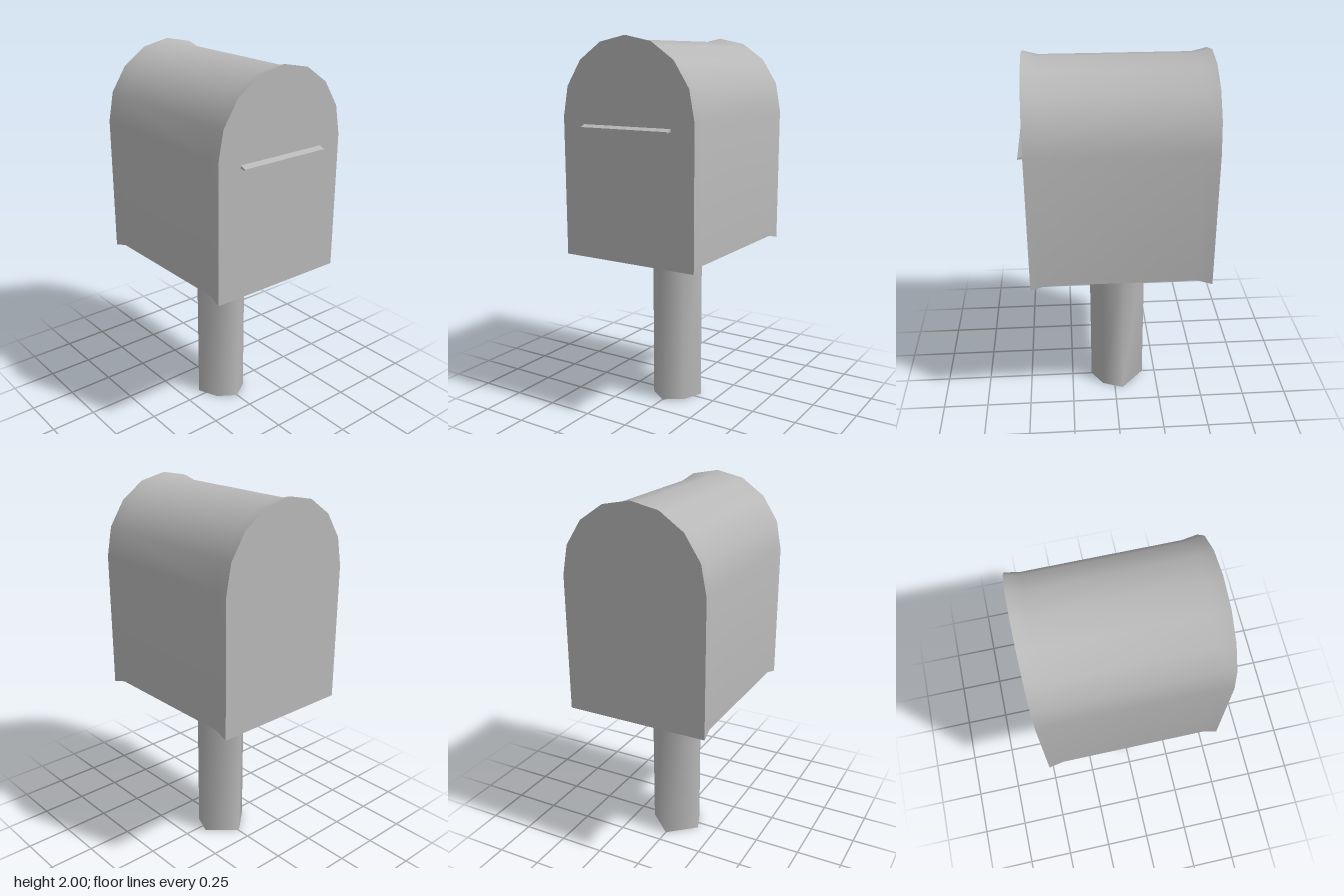
import * as THREE from 'three';
import { toCreasedNormals } from 'three/addons/utils/BufferGeometryUtils.js';

// Closed loft through matching convex rings [[x, y], ...] (counter-clockwise from +z), ordered back to front
function loft(sections, crease) {
  const pos = [];
  const point = (s, i) => {
    const p = s.ring[i % s.ring.length];
    return [p[0], p[1], s.z];
  };
  const tri = (a, b, c) => pos.push(...a, ...b, ...c);
  const n = sections[0].ring.length;
  for (let k = 0; k < sections.length - 1; k++) {
    const back = sections[k], front = sections[k + 1];
    for (let i = 0; i < n; i++) {
      tri(point(back, i), point(back, i + 1), point(front, i + 1));
      tri(point(back, i), point(front, i + 1), point(front, i));
    }
  }
  // end caps
  const first = sections[0], last = sections[sections.length - 1];
  for (let i = 1; i < n - 1; i++) {
    tri(point(first, 0), point(first, i + 1), point(first, i));
    tri(point(last, 0), point(last, i), point(last, i + 1));
  }
  const geo = new THREE.BufferGeometry();
  geo.setAttribute('position', new THREE.Float32BufferAttribute(pos, 3));
  return toCreasedNormals(geo, crease);
}

// Flat-bottomed arch outline
function arch(halfWidth, bottom, rise) {
  const ring = [[-halfWidth, bottom], [halfWidth, bottom]];
  for (let i = 0; i <= 8; i++) {
    const a = (i / 8) * Math.PI;
    ring.push([halfWidth * Math.cos(a), 1.6 + rise * Math.sin(a)]);
  }
  return ring;
}

export function createModel() {
  const group = new THREE.Group();
  const grey = new THREE.MeshStandardMaterial({ color: 0xb8b8b8 });
  grey.name = 'plain grey';
  const add = (name, geo) => {
    const mesh = new THREE.Mesh(geo, grey);
    mesh.name = name;
    group.add(mesh);
  };

  // arched box with a flared rim at each end
  const body = arch(0.38, 0.89, 0.38);
  const rim = arch(0.39, 0.87, 0.4);
  add('mailboxBody', loft([
    { ring: rim, z: -0.49 },
    { ring: body, z: -0.41 },
    { ring: body, z: 0.375 },
    { ring: rim, z: 0.455 },
  ], 0.9));

  // six-sided post, lofted along z and stood upright
  const plan = [[0, 0.175], [-0.146, 0.045], [-0.1, -0.07], [0, -0.135], [0.1, -0.07], [0.146, 0.045]];
  const post = loft([{ ring: plan, z: 0 }, { ring: plan, z: 0.9 }], 1.5);
  post.rotateX(-Math.PI / 2);
  add('post', post);

  // thin wedge lip on the front, profile in (z, y) swept across x
  const profile = new THREE.Shape([[0.45, 1.55], [0.487, 1.545], [0.487, 1.552], [0.45, 1.566]]
    .map(([z, y]) => new THREE.Vector2(-z, y)));
  const lip = new THREE.ExtrudeGeometry(profile, { depth: 0.516, bevelEnabled: false });
  lip.translate(0, 0, -0.258);
  lip.rotateY(Math.PI / 2);
  add('frontLip', lip);

  return group;
}
